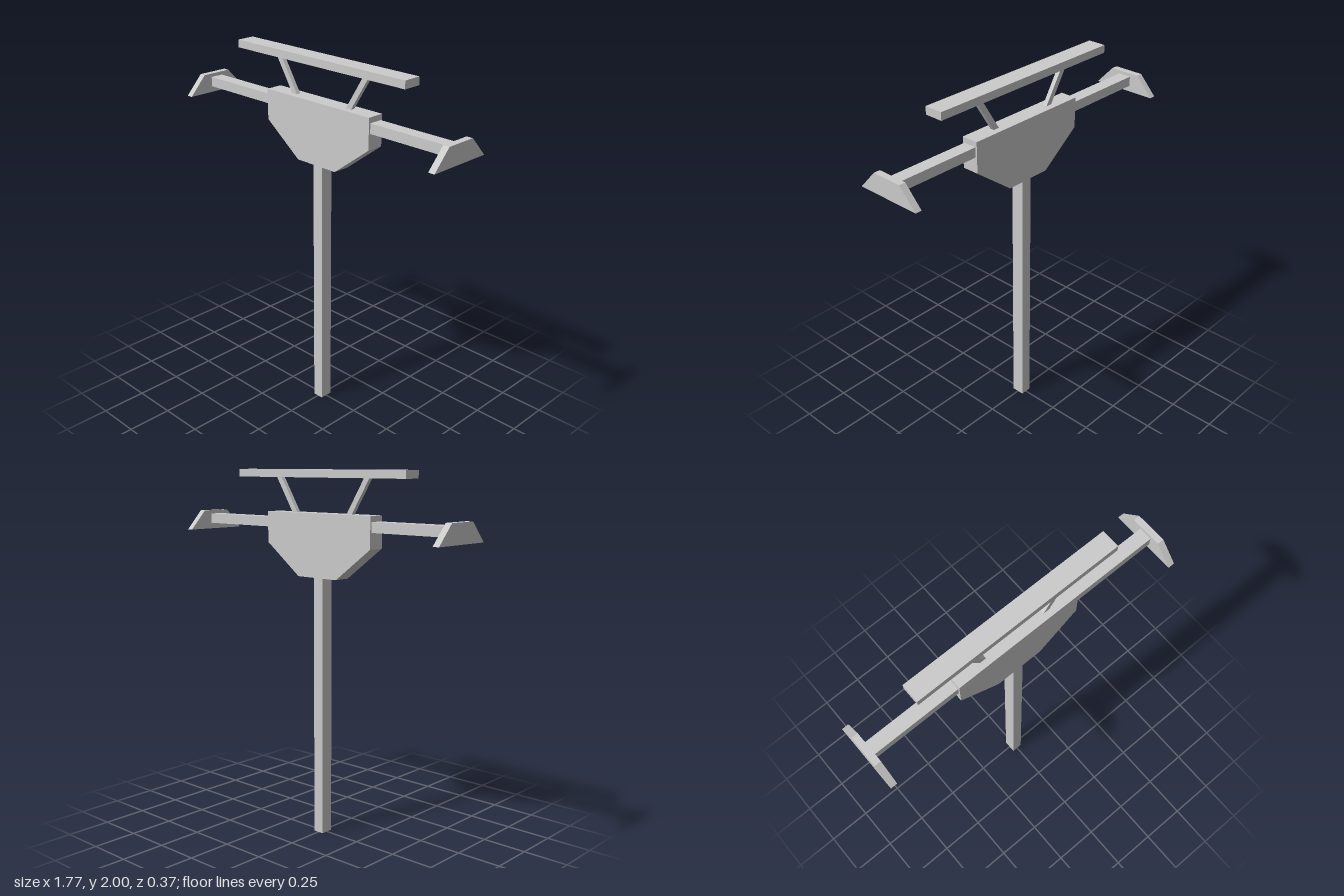
import * as THREE from 'three';

const material = new THREE.MeshStandardMaterial({ color: 0xcccccc, flatShading: true });
const openMaterial = new THREE.MeshStandardMaterial({ color: 0xcccccc, flatShading: true, side: THREE.DoubleSide });

function addMesh(parent, name, geometry, x = 0, y = 0, z = 0, mat = material) {
  const mesh = new THREE.Mesh(geometry, mat);
  mesh.name = name;
  mesh.position.set(x, y, z);
  parent.add(mesh);
  return mesh;
}

// Flat outline extruded along z and centred on z = 0
function plate(points, depth) {
  const shape = new THREE.Shape(points.map(([x, y]) => new THREE.Vector2(x, y)));
  return new THREE.ExtrudeGeometry(shape, { depth, bevelEnabled: false }).translate(0, 0, -depth / 2);
}

export function createModel() {
  const model = new THREE.Group();
  model.name = 'signalPost';

  // Square post, a tube open at the foot
  const post = new THREE.CylinderGeometry(Math.SQRT1_2, Math.SQRT1_2, 1, 4, 1, true, Math.PI / 4);
  post.scale(0.062, 1.436, 0.072);
  addMesh(model, 'post', post, 0, 0.718, 0, openMaterial);

  // Body with chamfered lower corners
  addMesh(model, 'body', plate([
    [-0.135, 1.433], [0.135, 1.433], [0.364, 1.605],
    [0.364, 1.773], [-0.364, 1.773], [-0.364, 1.605],
  ], 0.094));

  // Upper crossbar
  addMesh(model, 'topBar', new THREE.BoxGeometry(1.17, 0.042, 0.102), 0, 1.979, 0);

  for (const side of [1, -1]) {
    const prefix = side > 0 ? 'left' : 'right';

    // Side arm
    addMesh(model, prefix + 'Arm', new THREE.BoxGeometry(0.5, 0.054, 0.074), side * 0.6, 1.716, 0);

    // Trapezoid plate at the arm's end
    const end = plate([[-0.185, 1.657], [0.185, 1.657], [0.086, 1.762], [-0.086, 1.762]], 0.036);
    end.rotateY(Math.PI / 2);
    addMesh(model, prefix + 'EndPlate', end, side * 0.865, 0, 0);

    // Slanted strut from body to crossbar
    const from = new THREE.Vector2(0.187, 1.763), to = new THREE.Vector2(0.316, 1.97);
    const run = to.clone().sub(from);
    const strut = addMesh(model, prefix + 'Strut', new THREE.BoxGeometry(0.03, run.length(), 0.024),
      side * (from.x + to.x) / 2, (from.y + to.y) / 2, 0);
    strut.rotation.z = -side * Math.atan2(run.x, run.y);
  }

  return model;
}
